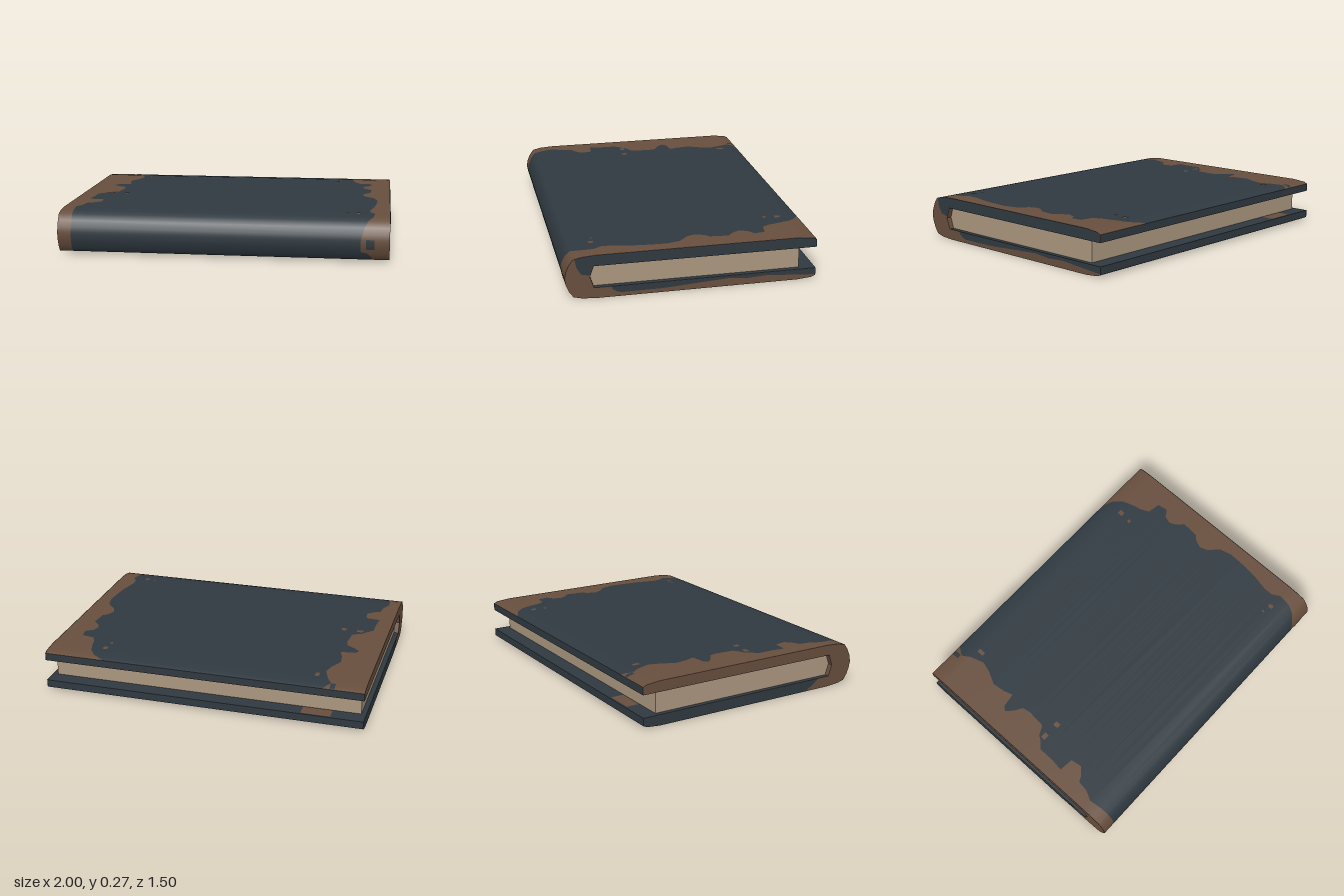
import * as THREE from 'three';
import { mergeGeometries } from 'three/addons/utils/BufferGeometryUtils.js';

const side = THREE.DoubleSide;
const slate = new THREE.MeshStandardMaterial({ name: 'slate cover', color: 0x2f3940, side });
const brown = new THREE.MeshStandardMaterial({ name: 'worn leather', color: 0x674e3d, side });
const paper = new THREE.MeshStandardMaterial({ name: 'paper', color: 0xa9967e, side });

// Cover outline as [z, y]: upper half from the open edge to the spine, then mirrored below
const MID = 0.134;
const half = [[-0.75, 0.249], [-0.725, 0.26], [-0.64, 0.268], [0.567, 0.268], [0.65, 0.262],
  [0.7, 0.25], [0.725, 0.215], [0.742, 0.175], [0.75, MID]];
const outer = [...half, ...half.slice(0, -1).reverse().map(([z, y]) => [z, 2 * MID - y])];
const inner = [[-0.75, 0.066], [0.58, 0.066], [0.603, MID], [0.58, 0.202], [-0.75, 0.202]];

// Arc length and smooth normal at each outline point
const arc = [0];
for (let i = 1; i < outer.length; i++) {
  arc.push(arc[i - 1] + Math.hypot(outer[i][0] - outer[i - 1][0], outer[i][1] - outer[i - 1][1]));
}
const END = arc[arc.length - 1];
const normals = outer.map((p, i) => {
  const a = outer[Math.max(i - 1, 0)], b = outer[Math.min(i + 1, outer.length - 1)];
  const l = Math.hypot(b[0] - a[0], b[1] - a[1]);
  return [(a[1] - b[1]) / l, (b[0] - a[0]) / l];
});

// Worn borders as [arc length, x], over the top, round the spine and under the bottom
const leftEdge = [[0, -0.75], [0.06, -0.79], [0.11, -0.76], [0.2, -0.73], [0.27, -0.75], [0.35, -0.79],
  [0.43, -0.78], [0.49, -0.76], [0.503, -0.85], [0.53, -0.87], [0.57, -0.83], [0.6, -0.78], [0.65, -0.77],
  [0.77, -0.78], [0.8, -0.84], [0.83, -0.86], [0.87, -0.9], [0.97, -0.9], [1.05, -0.91], [1.06, -0.82],
  [1.13, -0.81], [1.17, -0.85], [1.19, -0.89], [1.26, -0.9], [1.32, -0.93], [1.4, -0.92], [1.5, -0.915],
  [1.72, -0.92], [1.8, -0.89], [2.0, -0.92], [2.2, -0.89], [2.5, -0.92], [2.7, -0.9], [2.95, -0.91],
  [3.05, -0.85], [END, -0.78]];
const rightEdge = [[0, 0.62], [0.04, 0.69], [0.09, 0.73], [0.17, 0.755], [0.22, 0.765], [0.27, 0.79],
  [0.285, 0.87], [0.35, 0.88], [0.38, 0.835], [0.43, 0.82], [0.47, 0.84], [0.51, 0.88], [0.62, 0.87],
  [0.65, 0.84], [0.7, 0.82], [0.75, 0.84], [0.81, 0.9], [0.89, 0.92], [1.0, 0.915], [1.1, 0.905],
  [1.21, 0.88], [1.27, 0.88], [1.32, 0.91], [1.4, 0.9], [1.46, 0.87], [1.5, 0.85], [1.57, 0.83],
  [1.65, 0.83], [1.66, 0.87], [1.7, 0.9], [1.85, 0.95], [2.1, 0.94], [2.4, 0.96], [2.7, 0.94],
  [2.95, 0.96], [END, 0.97]];

// Linear lookup in a table of keys and values
function lookup(keys, values, s) {
  let i = 1;
  while (i < keys.length - 1 && keys[i] < s) i++;
  const t = Math.min(Math.max((s - keys[i - 1]) / (keys[i] - keys[i - 1]), 0), 1);
  return values[i - 1] + (values[i] - values[i - 1]) * t;
}
const border = table => s => lookup(table.map(p => p[0]), table.map(p => p[1]), s);
const column = (list, k) => list.map(p => p[k]);

// Band of the outer skin between two x borders, from arc length s0 to s1
function skin(x0, x1, s0 = 0, s1 = END, lift = 0) {
  const all = [...arc, ...column(leftEdge, 0), ...column(rightEdge, 0)];
  const rows = [...new Set([s0, ...all.filter(s => s > s0 && s < s1), s1])].sort((a, b) => a - b);
  const pos = [], nor = [], index = [];
  rows.forEach((s, i) => {
    const n = new THREE.Vector3(0, lookup(arc, column(normals, 1), s), lookup(arc, column(normals, 0), s)).normalize();
    const y = lookup(arc, column(outer, 1), s) + n.y * lift;
    const z = lookup(arc, column(outer, 0), s) + n.z * lift;
    for (const x of [x0(s), x1(s)]) {
      pos.push(x, y, z);
      nor.push(n.x, n.y, n.z);
    }
    const a = i * 2;
    if (i < rows.length - 1) index.push(a, a + 2, a + 3, a, a + 3, a + 1);
  });
  const g = new THREE.BufferGeometry();
  g.setAttribute('position', new THREE.Float32BufferAttribute(pos, 3));
  g.setAttribute('normal', new THREE.Float32BufferAttribute(nor, 3));
  g.setIndex(index);
  return g;
}

// Small patch on the skin, centred at x and arc length s
const patch = ([x, s, w, h]) => skin(() => x - w / 2, () => x + w / 2, Math.max(s - h / 2, 0), s + h / 2, 0.002);

const toShape = points => new THREE.Shape(points.map(([z, y]) => new THREE.Vector2(z, y)));

// Flat face in the z-y plane at a given x, facing outward
function endFace(points, x) {
  const g = new THREE.ShapeGeometry(toShape(points));
  g.rotateY(-Math.PI / 2);
  if (x > 0) g.scale(-1, 1, 1).index.array.reverse();
  if (x > 0) g.computeVertexNormals();
  return g.translate(x, 0, 0);
}

// Flat strip across x joining two [z, y] points
function strip([z0, y0], [z1, y1], x0 = -1, x1 = 1) {
  const g = new THREE.BufferGeometry();
  g.setAttribute('position', new THREE.Float32BufferAttribute(
    [x0, y0, z0, x1, y0, z0, x1, y1, z1, x0, y1, z1], 3));
  g.setIndex([0, 2, 1, 0, 3, 2]);
  g.computeVertexNormals();
  return g;
}

export function createModel() {
  const book = new THREE.Group();
  book.name = 'book';
  const add = (name, geometry, material) => {
    const mesh = new THREE.Mesh(geometry, material);
    mesh.name = name;
    book.add(mesh);
  };

  // Outer cover with worn sides
  const left = border(leftEdge), right = border(rightEdge);
  add('coverSkin', skin(left, right), slate);
  add('wornSides', mergeGeometries([skin(() => -1, left), skin(right, () => 1)]), brown);
  add('wearSpots', mergeGeometries([
    [-0.69, 0.14, 0.025, 0.045], [-0.715, 0.835, 0.03, 0.035], [-0.82, 0.83, 0.04, 0.03],
    [0.655, 0.14, 0.03, 0.035], [0.645, 0.22, 0.02, 0.02], [0.81, 1.32, 0.025, 0.03],
    [0.75, 1.305, 0.012, 0.015]].map(patch)), brown);
  add('coverFlecks', mergeGeometries([[-0.805, 0.03, 0.03, 0.05], [0.885, 1.6, 0.05, 0.06]].map(patch)), slate);

  // Ends of the boards and spine
  const outline = [...outer, ...inner];
  add('coverEnds', mergeGeometries([endFace(outline, 1), endFace(outline, -1)]), brown);
  const upperEnd = [...half.slice(0, 5), [0.69, 0.252], [0.68, 0.2], [0.655, 0.157], [0.602, 0.145],
    [0.58, 0.202], [-0.75, 0.202]];
  const lowerEnd = [[-0.75, 0.066], [0.48, 0.066], [0.475, 0.05], [0.45, 0.032], [0.42, 0.024], [0.19, 0.025],
    [0.1, 0.03], [-0.05, 0.04], [-0.22, 0.05], [-0.33, 0.04], [-0.45, 0.047], [-0.6, 0.035], [-0.75, 0.024]];
  const farEnd = [[-0.75, 0.066], [0.5, 0.066], [0.45, 0.03], [0.4, 0.002], [-0.64, 0.002],
    [-0.725, 0.009], [-0.75, 0.02]];
  add('darkEnds', mergeGeometries([endFace(upperEnd, 1.002), endFace(lowerEnd, 1.002),
    endFace(farEnd, -1.002)]), slate);

  // Inner lining and open edges of the boards
  add('upperLining', mergeGeometries([strip(inner[3], inner[4]), strip(inner[2], inner[3]),
    strip(inner[1], inner[2])]), brown);
  add('lowerLining', strip(inner[0], inner[1]), slate);
  add('openEdges', mergeGeometries([strip(inner[4], outer[0]),
    strip(outer[outer.length - 1], inner[0])]), slate);
  add('liningWear', strip([-0.74, 0.068], [-0.66, 0.068], -0.8, -0.62), brown);

  // Page block
  const block = [[0.579, 0.066], [0.602, MID], [0.579, 0.202], [-0.653, 0.202], [-0.653, 0.066]];
  const pages = new THREE.ExtrudeGeometry(toShape(block), { depth: 1.94, bevelEnabled: false });
  add('pages', pages.translate(0, 0, -0.97).rotateY(-Math.PI / 2), paper);
  return book;
}
